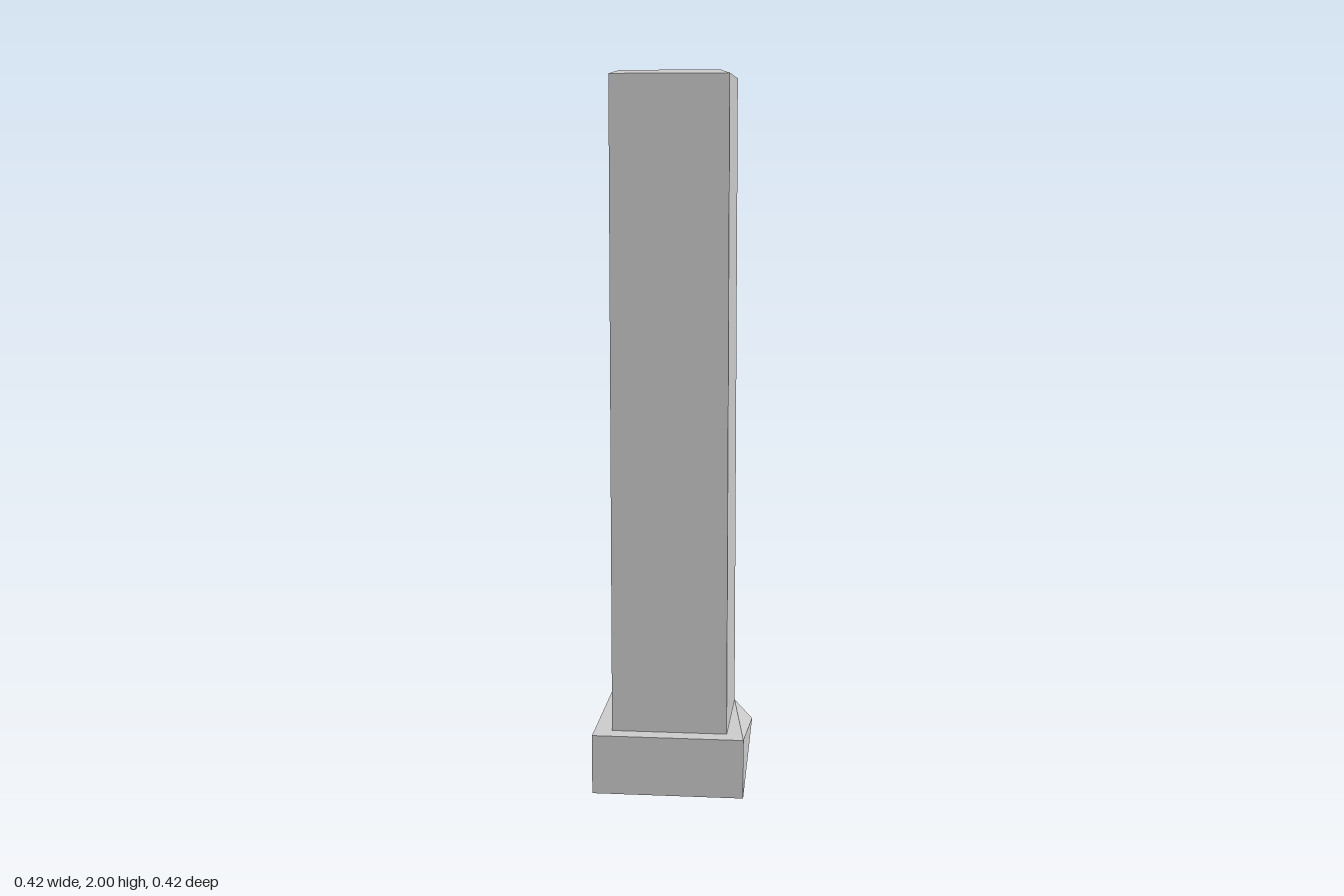
import * as THREE from 'three';

const material = new THREE.MeshStandardMaterial({ color: 0xcccccc, flatShading: true });

// Four corners, counter-clockwise from above: back right, front right, front left, back left
const ring = (r, y, cx = 0, rx = r) =>
  [[-1, -1], [-1, 1], [1, 1], [1, -1]].map(([x, z]) => new THREE.Vector3(cx + x * rx, y, z * r));

// Skin a stack of four-cornered rings; flip(level, side) picks the other quad diagonal
function loft(name, rings, { top = false, bottom = false, flip = () => false } = {}) {
  const points = [];
  const tri = (a, b, c) => {
    if (!a.equals(b) && !b.equals(c) && !c.equals(a)) points.push(a, b, c);
  };
  for (let k = 0; k < rings.length - 1; k++) {
    for (let i = 0; i < 4; i++) {
      const j = (i + 1) % 4;
      const a = rings[k][i], b = rings[k][j], c = rings[k + 1][j], d = rings[k + 1][i];
      if (flip(k, i)) { tri(a, b, d); tri(b, c, d); }
      else { tri(a, b, c); tri(a, c, d); }
    }
  }
  if (bottom) {
    const [a, b, c, d] = rings[0];
    tri(a, c, b); tri(a, d, c);
  }
  if (top) {
    const [a, b, c, d] = rings[rings.length - 1];
    tri(a, b, c); tri(a, c, d);
  }
  const geometry = new THREE.BufferGeometry().setFromPoints(points);
  geometry.computeVertexNormals();
  const mesh = new THREE.Mesh(geometry, material);
  mesh.name = name;
  return mesh;
}

export function createModel() {
  const group = new THREE.Group();
  group.name = 'pillar';

  // Square plinth whose back left corner is pinched to a single point
  const low = ring(0.212, 0), high = ring(0.212, 0.168);
  low[3].y = high[3].y = 0.095;
  group.add(loft('plinth', [low, high, ring(0.162, 0.168)], { bottom: true }));

  // Tall square shaft
  group.add(loft('shaft', [ring(0.162, 0.168), ring(0.162, 1.986)]));

  // Bevelled cap rising to a small off-centre crown
  group.add(loft('cap',
    [ring(0.162, 1.986), ring(0.135, 1.996), ring(0.04, 2, -0.06)],
    { top: true, flip: (k, i) => k === 1 && i === 2 }));

  return group;
}
